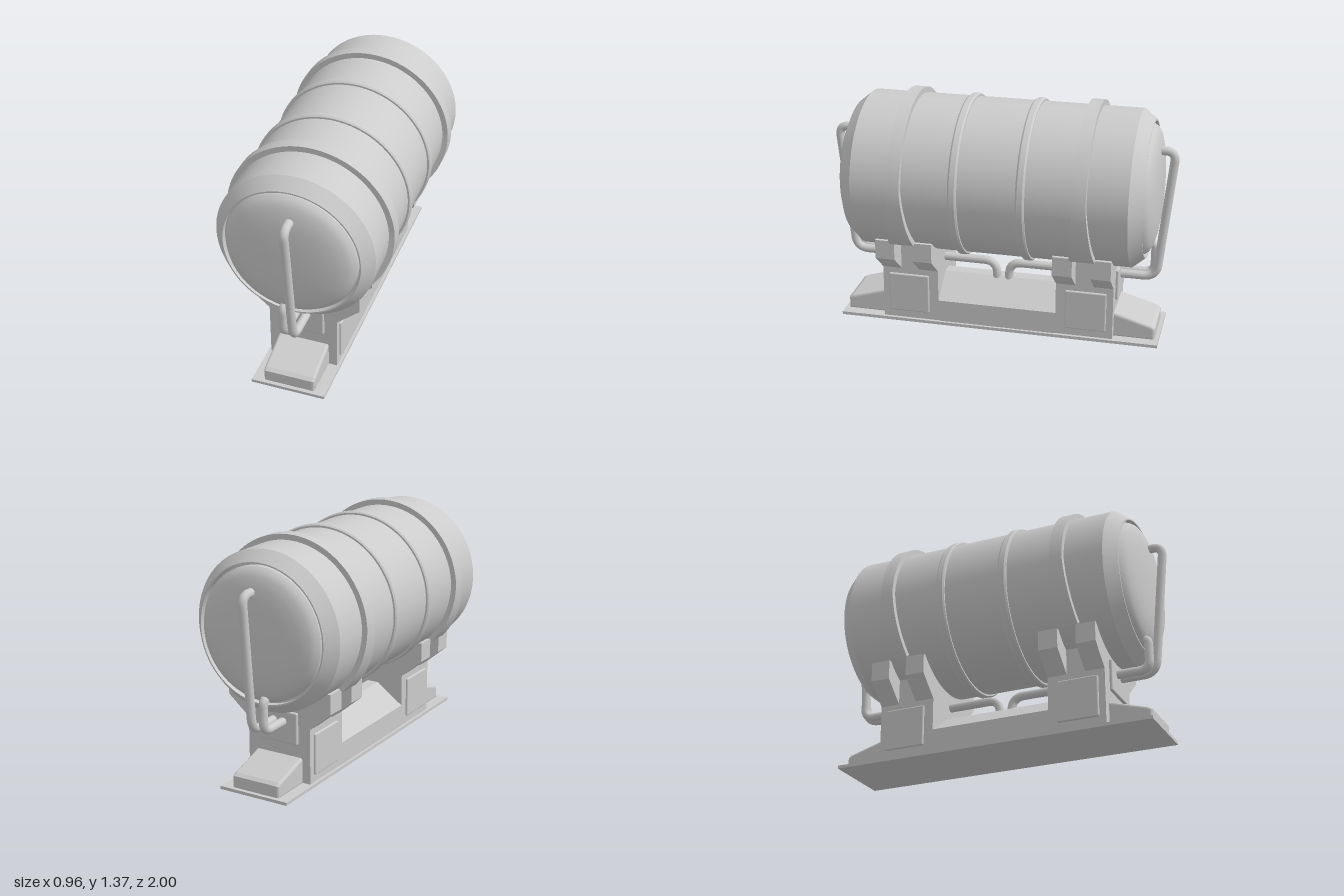
import * as THREE from 'three';
import { toCreasedNormals } from 'three/addons/utils/BufferGeometryUtils.js';
import { RoundedBoxGeometry } from 'three/addons/geometries/RoundedBoxGeometry.js';

const AXIS_Y = 0.89;  // height of the tank axis
const TANK_R = 0.45;
const material = new THREE.MeshStandardMaterial({ color: 0xcccccc });

function add(parent, name, geometry, x = 0, y = 0, z = 0) {
  const mesh = new THREE.Mesh(geometry, material);
  mesh.name = name;
  mesh.position.set(x, y, z);
  parent.add(mesh);
  return mesh;
}

// Lathe around the z axis; profile pairs are (radius, z) with z rising
function latheZ(profile) {
  const geometry = new THREE.LatheGeometry(profile.map(([r, z]) => new THREE.Vector2(r, z)), 72);
  return toCreasedNormals(geometry.rotateX(Math.PI / 2), 0.5);
}

function extrude(shape, depth, bevel = 0) {
  return new THREE.ExtrudeGeometry(shape, {
    depth, curveSegments: 32, bevelEnabled: bevel > 0,
    bevelSize: bevel, bevelThickness: bevel, bevelOffset: -bevel, bevelSegments: 3,
  });
}

const polygon = (pts) => new THREE.Shape(pts.map(([x, y]) => new THREE.Vector2(x, y)));

// Tube along straight runs with rounded corners
function pipe(points, radius, bend) {
  const p = points.map((a) => new THREE.Vector3(...a));
  const path = new THREE.CurvePath();
  let from = p[0];
  for (let i = 1; i < p.length - 1; i++) {
    const b = Math.min(bend, p[i].distanceTo(p[i - 1]) * 0.6, p[i].distanceTo(p[i + 1]) * 0.6);
    const start = p[i].clone().add(p[i - 1].clone().sub(p[i]).setLength(b));
    const end = p[i].clone().add(p[i + 1].clone().sub(p[i]).setLength(b));
    path.add(new THREE.LineCurve3(from, start));
    path.add(new THREE.QuadraticBezierCurve3(start, p[i], end));
    from = end;
  }
  path.add(new THREE.LineCurve3(from, p[p.length - 1]));
  return new THREE.TubeGeometry(path, 130, radius, 14);
}

// Box bent over the tank, widening towards its two ends
function strapGeometry() {
  const geometry = new THREE.BoxGeometry(1, 1, 1, 72, 1, 1);
  const pos = geometry.attributes.position;
  const reach = THREE.MathUtils.degToRad(134);
  for (let i = 0; i < pos.count; i++) {
    const angle = pos.getX(i) * 2 * reach;
    const r = pos.getY(i) > 0 ? 0.482 : TANK_R - 0.01;
    const flare = THREE.MathUtils.clamp((Math.abs(angle) - 1.5) / (reach - 1.5), 0, 1);
    const half = 0.036 + 0.036 * flare;
    pos.setXYZ(i, Math.sin(angle) * r, Math.cos(angle) * r, Math.sign(pos.getZ(i)) * half);
  }
  geometry.computeVertexNormals();
  return geometry;
}

// Upright section of a support, its top hollowed to fit the tank
function saddleShape(withArms) {
  const r = TANK_R - 0.005;
  const rim = withArms ? 0.303 : 0.2;
  const angle = Math.acos(rim / r);
  const shape = new THREE.Shape();
  shape.moveTo(-0.2, 0.02);
  shape.lineTo(0.2, 0.02);
  if (withArms) {
    shape.lineTo(0.2, 0.34);
    shape.lineTo(0.33, 0.45);
    shape.lineTo(0.33, AXIS_Y - r * Math.sin(angle));
  }
  shape.absarc(0, AXIS_Y, r, -angle, -Math.PI + angle, true);
  if (withArms) {
    shape.lineTo(-0.33, AXIS_Y - r * Math.sin(angle));
    shape.lineTo(-0.33, 0.45);
    shape.lineTo(-0.2, 0.34);
  }
  shape.closePath();
  return shape;
}

export function createModel() {
  const model = new THREE.Group();
  model.name = 'tankOnStand';

  // Tank with chamfered rims and domed ends set in a groove
  const end = [
    [0.45, 0.78], [0.392, 0.85], [0.384, 0.85], [0.384, 0.815], [0.372, 0.815], [0.37, 0.84],
    [0.355, 0.862], [0.325, 0.88], [0.27, 0.895], [0.2, 0.906], [0.1, 0.91], [0, 0.912],
  ];
  const otherEnd = end.map(([r, z]) => [r, -z]).reverse();
  add(model, 'tank', latheZ([...otherEnd, ...end]), 0, AXIS_Y);

  // Raised ribs around the middle
  for (const z of [-0.19, 0.19]) {
    const rib = latheZ([[0.44, -0.025], [0.46, -0.025], [0.467, -0.015],
      [0.467, 0.015], [0.46, 0.025], [0.44, 0.025]]);
    add(model, 'rib', rib, 0, AXIS_Y, z);
  }

  // Base plate
  add(model, 'basePlate', new THREE.BoxGeometry(0.43, 0.018, 1.89), 0, 0.009);

  // Low ridge joining the two supports
  const ridge = polygon([[-0.2, 0.015], [0.2, 0.015], [0.2, 0.15], [0.035, 0.27], [-0.035, 0.27], [-0.2, 0.15]]);
  add(model, 'middleRidge', extrude(ridge, 0.7), 0, 0, -0.35);

  for (const s of [1, -1]) {
    const half = new THREE.Group();
    half.name = s > 0 ? 'frontSupport' : 'backSupport';
    half.rotation.y = s > 0 ? 0 : Math.PI;
    model.add(half);

    // Two armed cradles with a plain block between
    for (const z of [0.35, 0.57]) add(half, 'cradleArm', extrude(saddleShape(true), 0.113), 0, 0, z);
    add(half, 'supportCore', extrude(saddleShape(false), 0.11), 0, 0, 0.461);

    // Cover panels on the sides and the end
    for (const x of [-0.2, 0.2]) {
      add(half, 'sidePanel', new RoundedBoxGeometry(0.024, 0.24, 0.24, 2, 0.008), x, 0.185, 0.525);
    }
    add(half, 'endPanel', new RoundedBoxGeometry(0.25, 0.185, 0.034, 2, 0.008), 0, 0.33, 0.683);

    // Sloping foot
    const foot = polygon([[0.66, 0.01], [0.922, 0.01], [0.922, 0.085], [0.90, 0.1], [0.68, 0.165], [0.66, 0.165]]);
    add(half, 'foot', extrude(foot, 0.27, 0.015).rotateY(-Math.PI / 2), 0.135);

    // Strap over the tank
    add(half, 'strap', strapGeometry(), 0, AXIS_Y, 0.52);

    // Long pipe from the dome through the support to the ridge
    add(model, 'longPipe', pipe([
      [0.018, 1.13, s * 0.88], [0.018, 1.13, s * 0.98], [0.025, 0.362, s * 0.902],
      [0.025, 0.362, s * 0.04], [0.025, 0.24, s * 0.035],
    ], 0.025, 0.075));

    // Short pipe from the lower rim into the support
    add(model, 'shortPipe', pipe([
      [-0.036, 0.545, s * 0.82], [-0.036, 0.545, s * 0.885],
      [-0.036, 0.362, s * 0.885], [-0.036, 0.362, s * 0.6],
    ], 0.025, 0.06));
  }
  return model;
}
